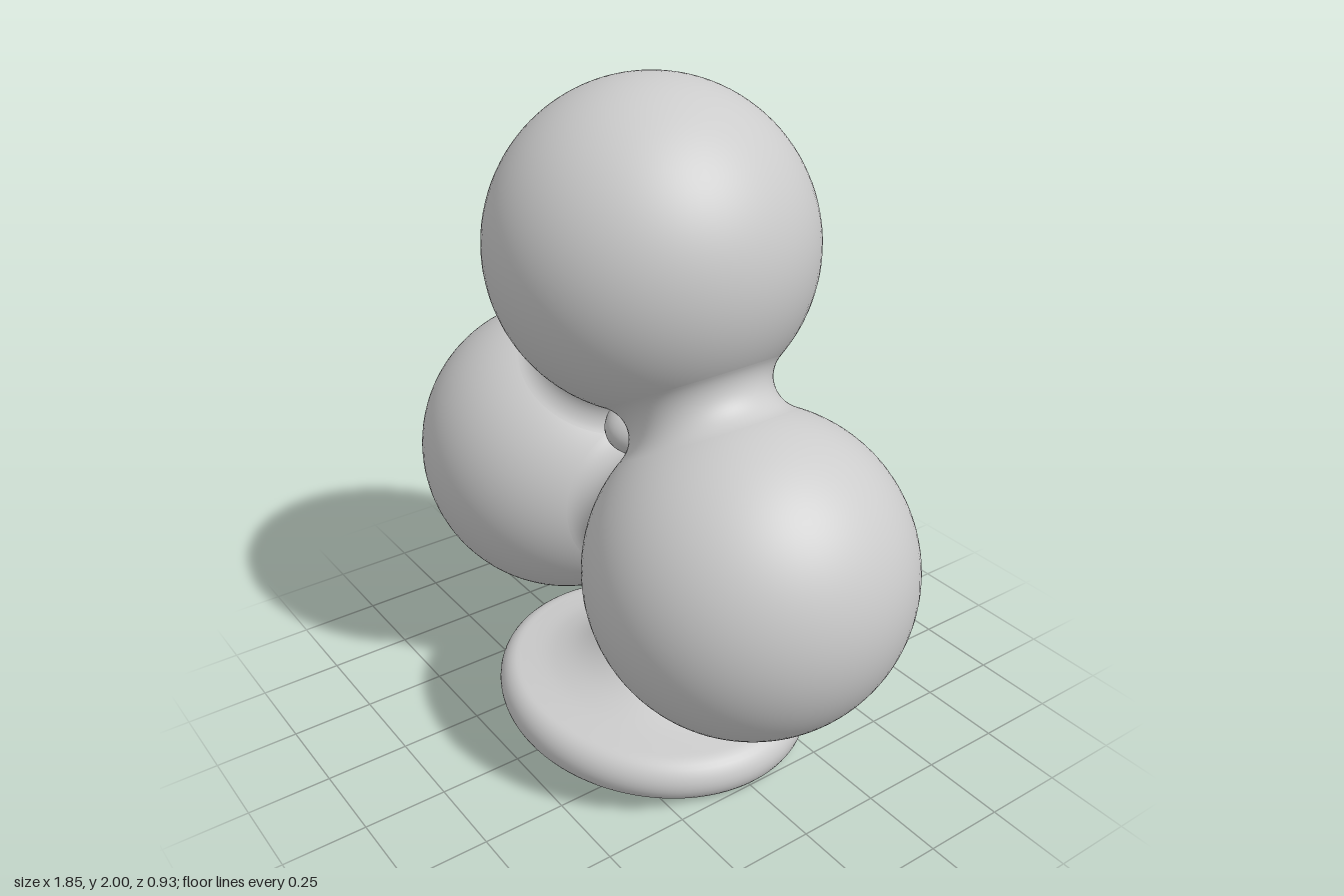
import * as THREE from 'three';

const R = 0.4625;                       // lobe radius
const NECK = 0.21;                      // neck radius between touching lobes
const UP = new THREE.Vector3(0, 1, 0);

export function createModel() {
  const group = new THREE.Group();
  const material = new THREE.MeshStandardMaterial({ color: 0xcccccc });
  const add = (name, geometry) => {
    const mesh = new THREE.Mesh(geometry, material);
    mesh.name = name;
    group.add(mesh);
    return mesh;
  };

  // Three touching spherical lobes
  const centres = {
    topLobe: new THREE.Vector3(0, 1.5375, 0),
    leftLobe: new THREE.Vector3(R, 0.736, 0),
    rightLobe: new THREE.Vector3(-R, 0.736, 0),
  };
  for (const [name, c] of Object.entries(centres)) {
    add(name, new THREE.SphereGeometry(R, 80, 56)).position.copy(c);
  }

  // Concave necks: an arc tangent to both lobes, turned about the line joining them
  const fillet = NECK * NECK / (2 * (R - NECK));
  const arcCentre = NECK + fillet;
  const reach = Math.atan2(R, arcCentre);
  const arc = [];
  for (let i = 0; i <= 20; i++) {
    const a = reach * (i / 10 - 1);
    arc.push(new THREE.Vector2(arcCentre - fillet * Math.cos(a), fillet * Math.sin(a)));
  }
  const neckGeometry = new THREE.LatheGeometry(arc, 80);
  const addNeck = (name, a, b) => {
    const neck = add(name, neckGeometry);
    neck.position.copy(a).add(b).multiplyScalar(0.5);
    neck.quaternion.setFromUnitVectors(UP, b.clone().sub(a).normalize());
  };
  addNeck('leftNeck', centres.topLobe, centres.leftLobe);
  addNeck('rightNeck', centres.topLobe, centres.rightLobe);
  addNeck('lowerNeck', centres.rightLobe, centres.leftLobe);

  // Core closing the gap between the lobes
  const core = add('core', new THREE.SphereGeometry(0.1, 32, 24));
  core.position.set(0, 1.003, 0);
  core.scale.z = 1.5;

  // Oval trumpet foot: hollow underside, rounded rim, flared stem
  const curve = (pts, n) => new THREE.SplineCurve(pts.map((p) => new THREE.Vector2(...p))).getPoints(n);
  const underside = curve([[0, 0.3], [0.035, 0.27], [0.08, 0.17], [0.17, 0.08], [0.3, 0.022], [0.46, 0]], 30);
  const rim = [];
  for (let i = 1; i < 16; i++) {
    const a = Math.PI * (i / 16 - 0.5);
    rim.push(new THREE.Vector2(0.46 + 0.0725 * Math.cos(a), 0.0725 + 0.0725 * Math.sin(a)));
  }
  const stem = curve([[0.46, 0.145], [0.35, 0.162], [0.25, 0.2], [0.17, 0.26], [0.11, 0.345], [0.078, 0.44], [0.06, 0.6]], 36);
  const foot = add('foot', new THREE.LatheGeometry([...underside, ...rim, ...stem], 96));
  foot.scale.z = 0.865;

  return group;
}
